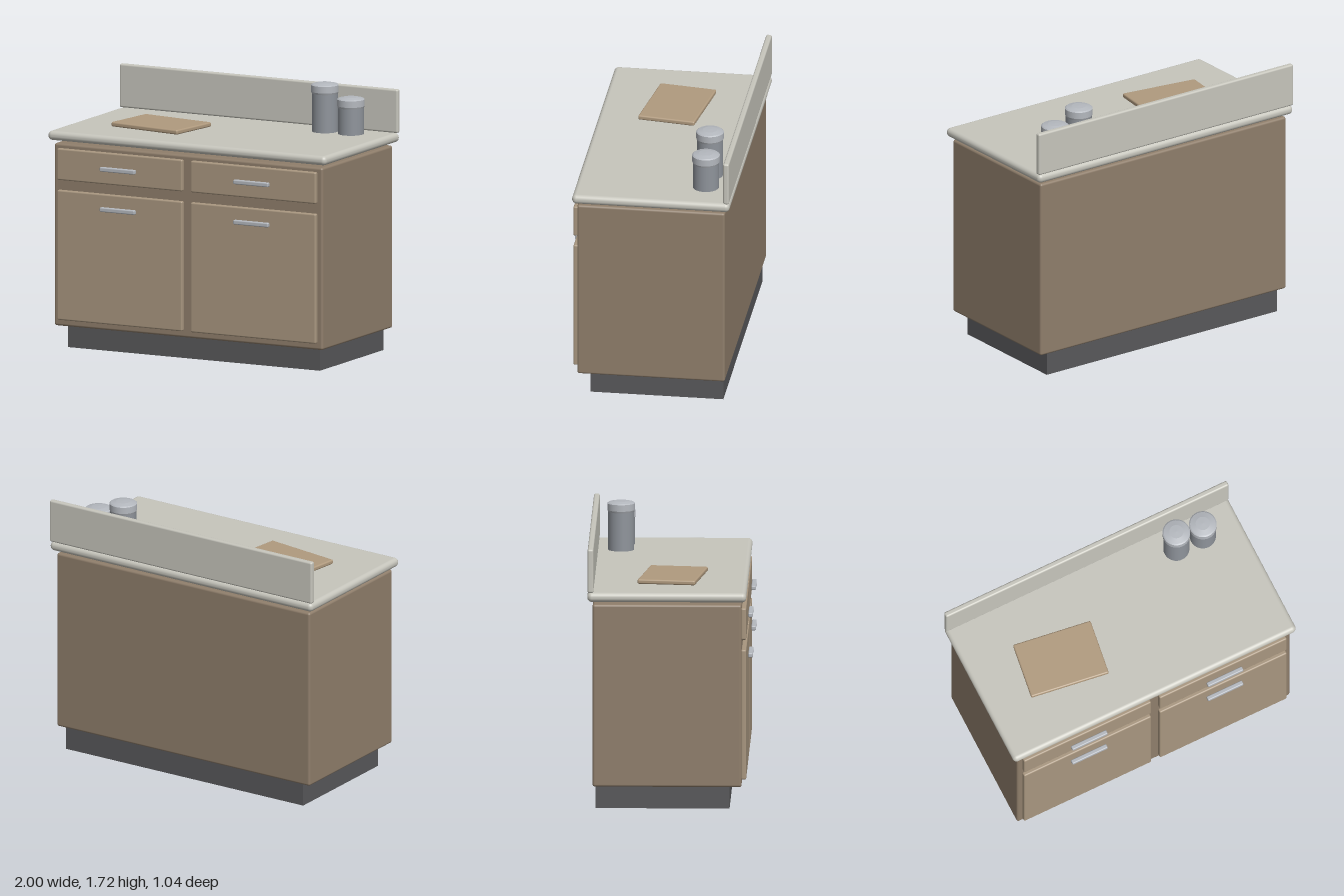
import * as THREE from 'three';
import { RoundedBoxGeometry } from 'three/addons/geometries/RoundedBoxGeometry.js';

const paint = (color) => new THREE.MeshStandardMaterial({ color });

export function createModel() {
  const model = new THREE.Group();
  const carcassPaint = paint(0x8f7e6b);
  const frontPaint = paint(0xa8967f);
  const stone = paint(0xc6c5bc);
  const metal = paint(0xb4b8be);
  const canisterPaint = paint(0x8f949b);
  const boardPaint = paint(0xb09a7e);
  const plinthPaint = paint(0x58585a);
  plinthPaint.side = THREE.DoubleSide;

  function add(name, geometry, material, x = 0, y = 0, z = 0) {
    const mesh = new THREE.Mesh(geometry, material);
    mesh.name = name;
    mesh.position.set(x, y, z);
    model.add(mesh);
    return mesh;
  }

  // Rounded block given by its limits on each axis
  function block(name, [x0, x1], [y0, y1], [z0, z1], radius, material) {
    const geometry = new RoundedBoxGeometry(x1 - x0, y1 - y0, z1 - z0, 4, radius);
    return add(name, geometry, material, (x0 + x1) / 2, (y0 + y1) / 2, (z0 + z1) / 2);
  }

  // Recessed plinth: four thin walls, open above and below
  const plinth = new THREE.BoxGeometry(1.81, 0.16, 0.85);
  const faces = Array.from(plinth.index.array);
  plinth.setIndex([...faces.slice(0, 12), ...faces.slice(24)]);
  plinth.clearGroups();
  add('plinth', plinth, plinthPaint, 0, 0.08, -0.045);

  // Cabinet body, worktop and upstand
  block('cabinetBody', [-0.965, 0.965], [0.147, 1.32], [-0.487, 0.457], 0.015, carcassPaint);
  block('worktop', [-1, 1], [1.34, 1.4], [-0.52, 0.487], 0.028, stone);
  block('backsplash', [-1, 1], [1.4, 1.68], [-0.518, -0.481], 0.012, stone);

  // Drawer over door on each side, each with a bar handle
  for (const [side, s] of [['left', 1], ['right', -1]]) {
    const span = [0.48 * s - 0.45, 0.48 * s + 0.45];
    const grip = [0.48 * s - 0.125, 0.48 * s + 0.125];
    block(side + 'Door', span, [0.19, 1.025], [0.453, 0.486], 0.01, frontPaint);
    block(side + 'Drawer', span, [1.09, 1.293], [0.453, 0.486], 0.01, frontPaint);
    block(side + 'DoorHandle', grip, [0.917, 0.945], [0.492, 0.521], 0.007, metal);
    block(side + 'DrawerHandle', grip, [1.176, 1.204], [0.492, 0.521], 0.007, metal);
  }

  // Cutting board lying askew
  const board = block('cuttingBoard', [-0.693, -0.175], [1.4, 1.43], [-0.175, 0.195], 0.01, boardPaint);
  board.rotation.y = -0.14;

  // Lathe with sharp edges: every profile segment gets its own points
  function turned(profile) {
    const group = new THREE.Group();
    profile.slice(1).forEach((p, i) => {
      const pair = [profile[i], p].map(([r, y]) => new THREE.Vector2(r, y));
      group.add(new THREE.Mesh(new THREE.LatheGeometry(pair, 32)));
    });
    return group;
  }

  // Canisters with low domed lids
  function canister(name, x, height) {
    const group = new THREE.Group();
    const body = turned([[0, 0], [0.083, 0], [0.083, height - 0.07], [0, height - 0.07]]);
    const lid = turned([
      [0.083, height - 0.07], [0.088, height - 0.058], [0.088, height - 0.016],
      [0.08, height - 0.01], [0.045, height - 0.002], [0, height],
    ]);
    for (const [part, label, material] of [[body, 'Body', canisterPaint], [lid, 'Lid', metal]]) {
      part.name = name + label;
      part.children.forEach((mesh) => {
        mesh.name = name + label;
        mesh.material = material;
      });
      group.add(part);
    }
    group.name = name;
    group.position.set(x, 1.4, -0.337);
    model.add(group);
  }
  canister('tallCanister', 0.556, 0.315);
  canister('shortCanister', 0.743, 0.238);

  return model;
}
